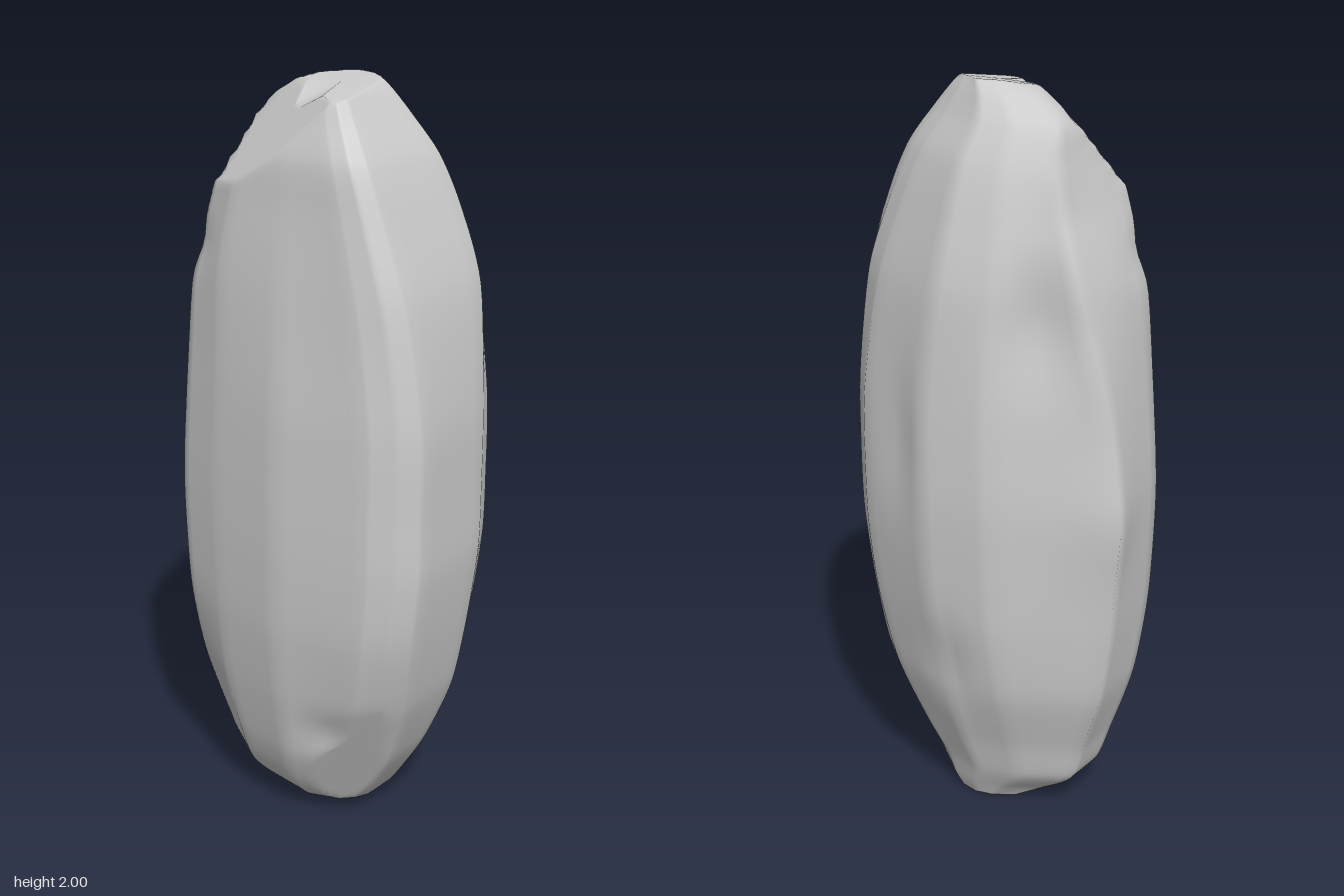
import * as THREE from 'three';

// Angular cross-sections [x, z]; matching corners form the upright ridges
const FOOT = [
  [-0.25, -0.02], [-0.24, 0.1], [-0.15, 0.17], [0, 0.2], [0.12, 0.17], [0.17, 0.13],
  [0.2, 0.08], [0.21, -0.04], [0.17, -0.1], [0.1, -0.14], [-0.02, -0.15], [-0.13, -0.11],
];
const WAIST = [
  [-0.415, -0.05], [-0.35, 0.21], [-0.2, 0.265], [0.02, 0.31], [0.29, 0.29], [0.365, 0.255],
  [0.405, 0.2], [0.41, -0.075], [0.357, -0.19], [0.27, -0.26], [0.02, -0.31], [-0.16, -0.26],
];
const CROWN = [
  [-0.24, -0.08], [-0.22, 0.16], [-0.14, 0.2], [0, 0.21], [0.14, 0.215], [0.19, 0.205],
  [0.215, 0.17], [0.245, -0.07], [0.205, -0.1], [0.14, -0.13], [-0.02, -0.17], [-0.12, -0.14],
];

// Extents by height: [y, xMin, xMax, zMin, zMax]
const LEVELS = [
  [0.0, -0.08, 0.11, -0.115, 0.04],
  [0.04, -0.15, 0.16, -0.13, 0.14],
  [0.11, -0.25, 0.21, -0.15, 0.2],
  [0.22, -0.29, 0.275, -0.188, 0.245],
  [0.4, -0.355, 0.345, -0.25, 0.28],
  [0.6, -0.387, 0.385, -0.285, 0.303],
  [0.8, -0.4, 0.41, -0.3, 0.31],
  [0.97, -0.403, 0.412, -0.305, 0.309],
  [1.2, -0.385, 0.41, -0.298, 0.303],
  [1.5, -0.343, 0.378, -0.27, 0.278],
  [1.7, -0.27, 0.315, -0.22, 0.255],
  [1.82, -0.23, 0.265, -0.18, 0.24],
  [1.91, -0.2, 0.205, -0.13, 0.205],
  [1.97, -0.12, 0.16, -0.095, 0.18],
  [2.0, -0.04, 0.13, -0.07, 0.15],
];

// Broken-off facets: plane normal and a point on the plane
const CUTS = [
  [[-0.038, 0.06, 0.06], [0.1, 1.95, 0.18]],
  [[0, 0.985, 0.17], [0.14, 1.96, 0.18]],
  [[0.5, -0.45, 0.75], [0.2, 0.3, 0.207]],
];

// Shallow worn hollows: centre, [width, height], depth (negative for a bump)
const DENTS = [
  [[0.13, 1.1, -0.28], [0.06, 0.18], 0.015],
  [[0.0, 0.48, -0.25], [0.06, 0.14], 0.02],
  [[-0.27, 1.45, -0.15], [0.12, 0.16], 0.04],
  [[-0.23, 1.7, -0.07], [0.07, 0.08], 0.008],
  [[0.17, 0.31, 0.21], [0.09, 0.06], 0.018],
  [[-0.3, 1.58, 0.2], [0.06, 0.06], 0.015],
  [[-0.4, 0.93, -0.05], [0.1, 0.16], -0.017],
];

const ROWS = 98, PER_SIDE = 6;
const { lerp, smoothstep } = THREE.MathUtils;

function shapePoint(p) {
  // hollows pull the surface towards the upright axis
  for (const [c, [w, h], depth] of DENTS) {
    const d2 = ((p.x - c[0]) ** 2 + (p.z - c[2]) ** 2) / w ** 2 + (p.y - c[1]) ** 2 / h ** 2;
    const k = 1 - (depth * Math.exp(-d2)) / Math.max(Math.hypot(p.x, p.z), 0.05);
    p.x *= k;
    p.z *= k;
  }
  // anything beyond a cut plane is drawn back onto it
  const core = new THREE.Vector3(0, 1, 0);
  for (const [n, q] of CUTS) {
    const normal = new THREE.Vector3(...n);
    const limit = normal.dot(new THREE.Vector3(...q).sub(core));
    const ray = p.clone().sub(core);
    const reach = normal.dot(ray);
    if (reach > limit) p.copy(core).addScaledVector(ray, limit / reach);
  }
  return p;
}

// Cross-section as 0..1 fractions of its extents, each side subdivided
function unitRing(outline) {
  const box = new THREE.Box2().setFromPoints(outline.map((c) => new THREE.Vector2(...c)));
  const size = box.getSize(new THREE.Vector2());
  return outline.flatMap((a, i) => {
    const b = outline[(i + 1) % outline.length];
    return Array.from({ length: PER_SIDE }, (_, s) => [
      (lerp(a[0], b[0], s / PER_SIDE) - box.min.x) / size.x,
      (lerp(a[1], b[1], s / PER_SIDE) - box.min.y) / size.y,
    ]);
  });
}

function stoneGeometry() {
  const curve = (a, b) => new THREE.CatmullRomCurve3(
    LEVELS.map((l) => new THREE.Vector3(l[0], l[a], l[b])), false, 'catmullrom', 0.4);
  const xs = curve(1, 2), zs = curve(3, 4);
  const foot = unitRing(FOOT), waist = unitRing(WAIST), crown = unitRing(CROWN);

  const n = waist.length, positions = [], indices = [];
  const add = (x, y, z) => positions.push(...shapePoint(new THREE.Vector3(x, y, z)).toArray());
  for (let r = 0; r <= ROWS; r++) {
    const X = xs.getPoint(r / ROWS), Z = zs.getPoint(r / ROWS), y = X.x;
    const low = 1 - smoothstep(y, 0.05, 0.7), high = smoothstep(y, 1.1, 1.85);
    for (let i = 0; i < n; i++) {
      const [u, v] = [0, 1].map((k) =>
        waist[i][k] * (1 - low - high) + foot[i][k] * low + crown[i][k] * high);
      add(lerp(X.y, X.z, u), y, lerp(Z.y, Z.z, v));
    }
  }
  for (let r = 0; r < ROWS; r++) {
    for (let i = 0; i < n; i++) {
      const j = (i + 1) % n, a = r * n + i, b = r * n + j;
      indices.push(a, b, b + n, a, b + n, a + n);
    }
  }
  // Closed ends
  const bottom = (ROWS + 1) * n, top = bottom + 1, last = ROWS * n;
  add(0.01, 0, -0.035);
  add(0.045, 2, 0.03);
  for (let i = 0; i < n; i++) {
    const j = (i + 1) % n;
    indices.push(bottom, j, i, top, last + i, last + j);
  }

  const geometry = new THREE.BufferGeometry();
  geometry.setAttribute('position', new THREE.Float32BufferAttribute(positions, 3));
  geometry.setIndex(indices);
  geometry.computeVertexNormals();
  return geometry;
}

export function createModel() {
  const group = new THREE.Group();
  group.name = 'standingStone';
  const stone = new THREE.Mesh(stoneGeometry(), new THREE.MeshStandardMaterial({ color: 0xcccccc }));
  stone.name = 'stone';
  group.add(stone);
  return group;
}
